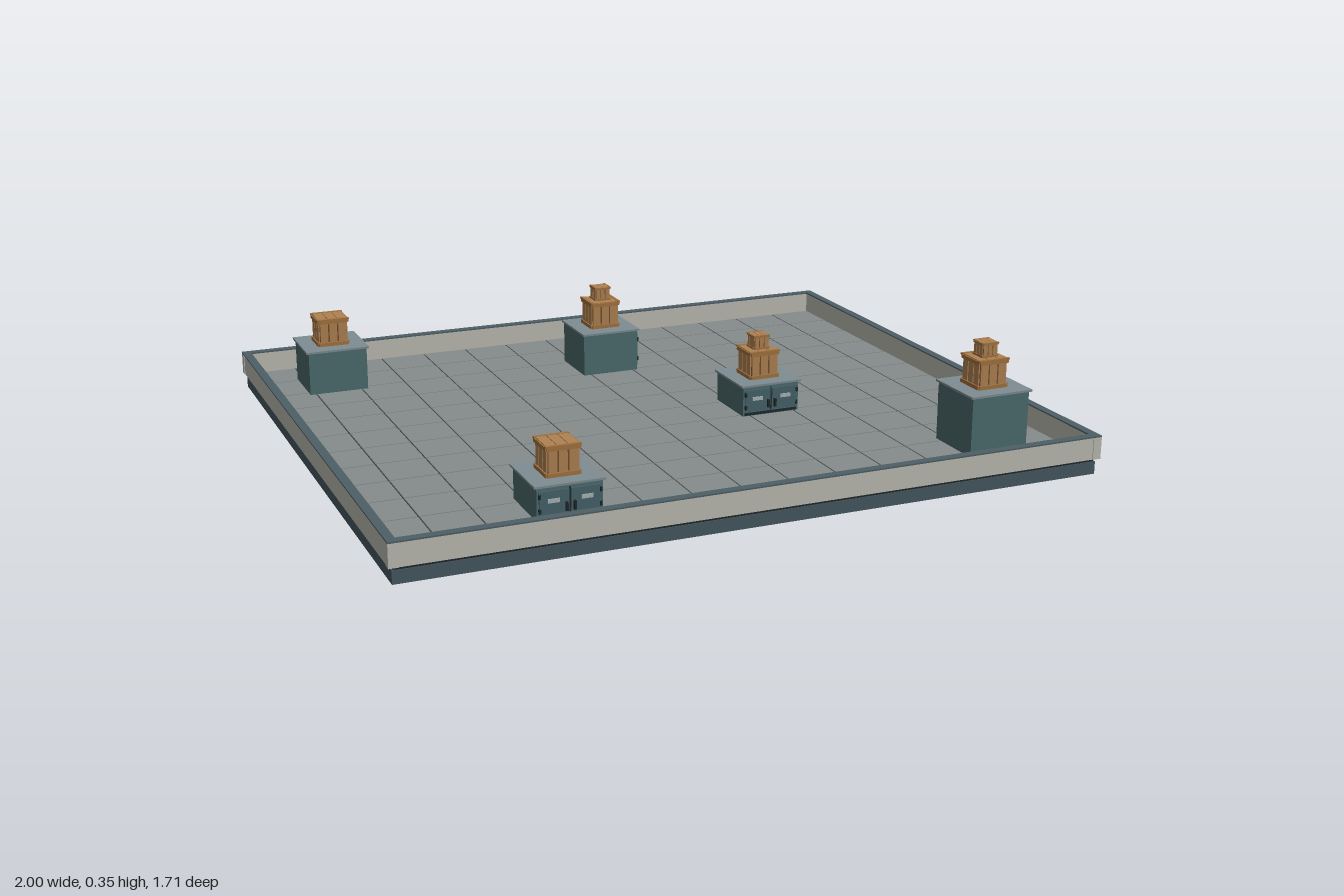
import * as THREE from 'three';

const paint = (color) => new THREE.MeshStandardMaterial({ color });
const M = {
  base: paint(0x465760), wall: paint(0xbdbdb4), cap: paint(0x4d5f66), tile: paint(0x868c8b),
  body: paint(0x4c6b6d), top: paint(0x7f8d93), door: paint(0x45646a), plate: paint(0xa9b6b4),
  dark: paint(0x20292c), wood: paint(0xb08252), trim: paint(0xa3743f), gap: paint(0x70492a),
};

function box(parent, name, mat, w, h, d, x, y, z) {
  const mesh = new THREE.Mesh(new THREE.BoxGeometry(w, h, d), mat);
  mesh.name = name;
  mesh.position.set(x, y, z);
  parent.add(mesh);
  return mesh;
}

// Wooden crate standing on its own y = 0
function crate(w, h) {
  const g = new THREE.Group();
  g.name = 'crate';
  const t = w * 0.09, inner = w * 0.84;
  box(g, 'crateCore', M.gap, inner, h * 0.94, inner, 0, h * 0.47, 0);
  for (let side = 0; side < 4; side++) {
    const face = new THREE.Group();
    face.name = 'crateSide';
    face.rotation.y = side * Math.PI / 2;
    // Upright planks, with rails along the top and bottom edge
    for (let i = -1; i <= 1; i++)
      box(face, 'crateSlat', M.wood, inner * 0.29, h * 0.92, t * 0.5, i * inner * 0.34, h * 0.48, inner / 2 + t * 0.2);
    for (const y of [0.07, 0.9])
      box(face, 'crateRail', M.trim, w * 0.91, h * 0.13, t, 0, h * y, w / 2 - t / 2);
    g.add(face);
  }
  // Lid planks with two narrow battens
  for (let i = -1; i <= 1; i++)
    box(g, 'lidPlank', M.wood, w * 0.29, h * 0.07, w * 0.86, i * w * 0.31, h * 0.955, 0);
  for (const s of [-1, 1])
    box(g, 'lidBatten', M.trim, w, h * 0.06, w * 0.1, 0, h * 0.97, s * w * 0.45);
  return g;
}

// Two-door cabinet whose front faces its own +z
function cabinet(h) {
  const g = new THREE.Group();
  g.name = 'cabinet';
  const w = 0.178, f = w / 2;
  box(g, 'cabinetBody', M.body, w, h - 0.006, w, 0, (h - 0.006) / 2, 0);
  box(g, 'cabinetTop', M.top, 0.192, 0.006, 0.188, 0, h - 0.003, 0);
  box(g, 'cabinetPlinth', M.dark, w * 0.94, 0.008, 0.004, 0, 0.006, f);
  box(g, 'doorGap', M.dark, 0.004, h - 0.024, 0.002, 0, h / 2, f);
  const doorH = h - 0.03;
  for (const s of [-1, 1]) {
    box(g, 'door', M.door, 0.08, doorH, 0.004, s * 0.043, 0.014 + doorH / 2, f + 0.002);
    box(g, 'labelPlate', M.plate, 0.032, 0.011, 0.003, s * 0.045, h - 0.042, f + 0.005);
    box(g, 'pullHandle', M.dark, 0.006, 0.024, 0.01, s * 0.011, h - 0.06, f + 0.007);
    for (const y of [0.2, 0.8])
      box(g, 'hinge', M.dark, 0.006, 0.012, 0.006, s * 0.082, 0.014 + doorH * y, f + 0.004);
  }
  return g;
}

export function createModel() {
  const model = new THREE.Group();
  model.name = 'storageFloor';

  // Foundation and the dark bed between the tiles
  box(model, 'foundation', M.base, 1.98, 0.036, 1.695, 0, 0.018, 0);
  box(model, 'tileBed', M.dark, 1.97, 0.006, 1.69, 0, 0.039, 0);

  // Floor tiles
  const cols = 14, rows = 12, pitch = 0.14, floorY = 0.046;
  const tiles = new THREE.InstancedMesh(new THREE.BoxGeometry(0.136, 0.01, 0.136), M.tile, cols * rows);
  tiles.name = 'floorTiles';
  const spot = new THREE.Matrix4();
  for (let i = 0; i < cols; i++)
    for (let j = 0; j < rows; j++)
      tiles.setMatrixAt(i * rows + j,
        spot.makeTranslation((i - (cols - 1) / 2) * pitch, floorY - 0.005, (j - (rows - 1) / 2) * pitch));
  model.add(tiles);

  // Low walls with a dark coping, and corner posts
  const wallH = 0.063, wallY = 0.0765, capY = 0.11, t = 0.023;
  for (const s of [-1, 1]) {
    box(model, 'longWall', M.wall, 1.954, wallH, t, 0, wallY, s * (0.855 - t / 2));
    box(model, 'shortWall', M.wall, t, wallH, 1.664, s * (0.998 - t / 2), wallY, 0);
    box(model, 'longCoping', M.cap, 2, 0.004, 0.025, 0, capY, s * 0.8445);
    box(model, 'shortCoping', M.cap, 0.025, 0.004, 1.664, s * 0.9875, capY, 0);
    for (const e of [-1, 1])
      box(model, 'cornerPost', M.wall, 0.025, wallH, 0.025, s * 0.9875, wallY, e * 0.8445);
  }

  // Cabinets: x, z, top height, quarter turns, small crate on top
  const layout = [
    [-0.77, -0.627, 0.18, 2, false],
    [-0.49, 0.62, 0.14, 0, false],
    [0.065, -0.495, 0.18, 1, true],
    [0.345, 0.065, 0.14, 0, true],
    [0.765, 0.625, 0.22, 2, true],
  ];
  for (const [x, z, top, turns, stacked] of layout) {
    const h = top - floorY;
    const unit = new THREE.Group();
    unit.name = 'cabinetWithCrates';
    unit.position.set(x, floorY, z);
    unit.rotation.y = turns * Math.PI / 2;
    unit.add(cabinet(h));
    const big = crate(0.097, 0.084);
    big.position.y = h;
    unit.add(big);
    if (stacked) {
      const small = crate(0.052, 0.042);
      small.position.y = h + 0.084;
      unit.add(small);
    }
    model.add(unit);
  }
  return model;
}
